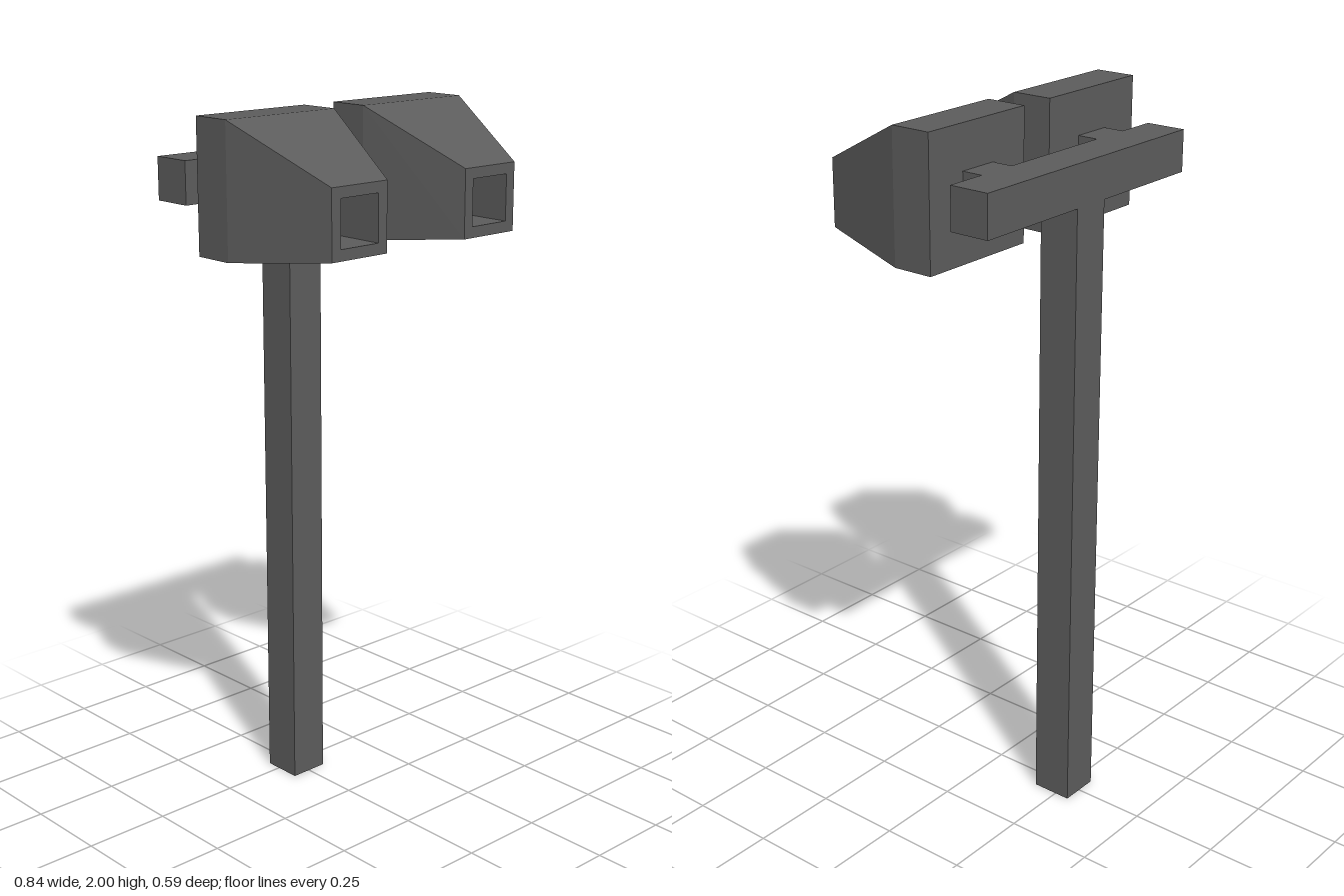
import * as THREE from 'three';

const darkMetal = new THREE.MeshStandardMaterial({ color: 0x5c5c5c });
darkMetal.name = 'dark metal';
const lampGlow = new THREE.MeshStandardMaterial({ color: 0xe0e0e0 });
lampGlow.name = 'lamp white';

// Box given by its minimum and maximum corners
function block(name, [x0, y0, z0], [x1, y1, z1]) {
  const mesh = new THREE.Mesh(new THREE.BoxGeometry(x1 - x0, y1 - y0, z1 - z0), darkMetal);
  mesh.position.set((x0 + x1) / 2, (y0 + y1) / 2, (z0 + z1) / 2);
  mesh.name = name;
  return mesh;
}

// Flat-sided shell through rectangular sections [halfWidth, bottom, top, z]
function sectionShell(sections) {
  const loops = sections.map(([w, b, t, z]) => [[-w, b, z], [w, b, z], [w, t, z], [-w, t, z]]);
  const pos = [];
  const quad = (a, b, c, d) => pos.push(...a, ...b, ...c, ...a, ...c, ...d);
  const [p, q, r, s] = loops[0];
  quad(p, s, r, q); // back cap
  for (let k = 0; k < loops.length - 1; k++) {
    for (let i = 0; i < 4; i++) {
      const j = (i + 1) % 4;
      quad(loops[k][i], loops[k][j], loops[k + 1][j], loops[k + 1][i]);
    }
  }
  const geo = new THREE.BufferGeometry();
  geo.setAttribute('position', new THREE.Float32BufferAttribute(pos, 3));
  geo.computeVertexNormals();
  return geo;
}

function lampHead(name) {
  const head = new THREE.Group();
  head.name = name;
  // Square back, tapering snout, rim and recessed opening
  const housing = new THREE.Mesh(sectionShell([
    [0.183, 1.64, 2.0, -0.117],
    [0.183, 1.64, 2.0, 0],
    [0.094, 1.67, 1.855, 0.293],
    [0.064, 1.7, 1.826, 0.293],
    [0.064, 1.7, 1.826, 0.14],
  ]), darkMetal);
  housing.name = 'housing';
  // Bright panel closing the recess
  const panel = new THREE.Mesh(new THREE.PlaneGeometry(0.128, 0.126), lampGlow);
  panel.position.set(0, 1.763, 0.14);
  panel.name = 'lampPanel';
  head.add(housing, panel);
  return head;
}

export function createModel() {
  const model = new THREE.Group();
  model.name = 'twinFloodlight';
  model.add(
    block('post', [-0.057, 0, -0.293], [0.057, 1.764, -0.177]),
    block('crossbar', [-0.41, 1.764, -0.293], [0.41, 1.88, -0.177]),
  );
  // One bracket and lamp on each side
  for (const [side, label] of [[1, 'left'], [-1, 'right']]) {
    const x = side * 0.235;
    model.add(block(label + 'Bracket', [x - 0.058, 1.764, -0.177], [x + 0.058, 1.88, -0.117]));
    const head = lampHead(label + 'Lamp');
    head.position.x = x;
    model.add(head);
  }
  return model;
}
